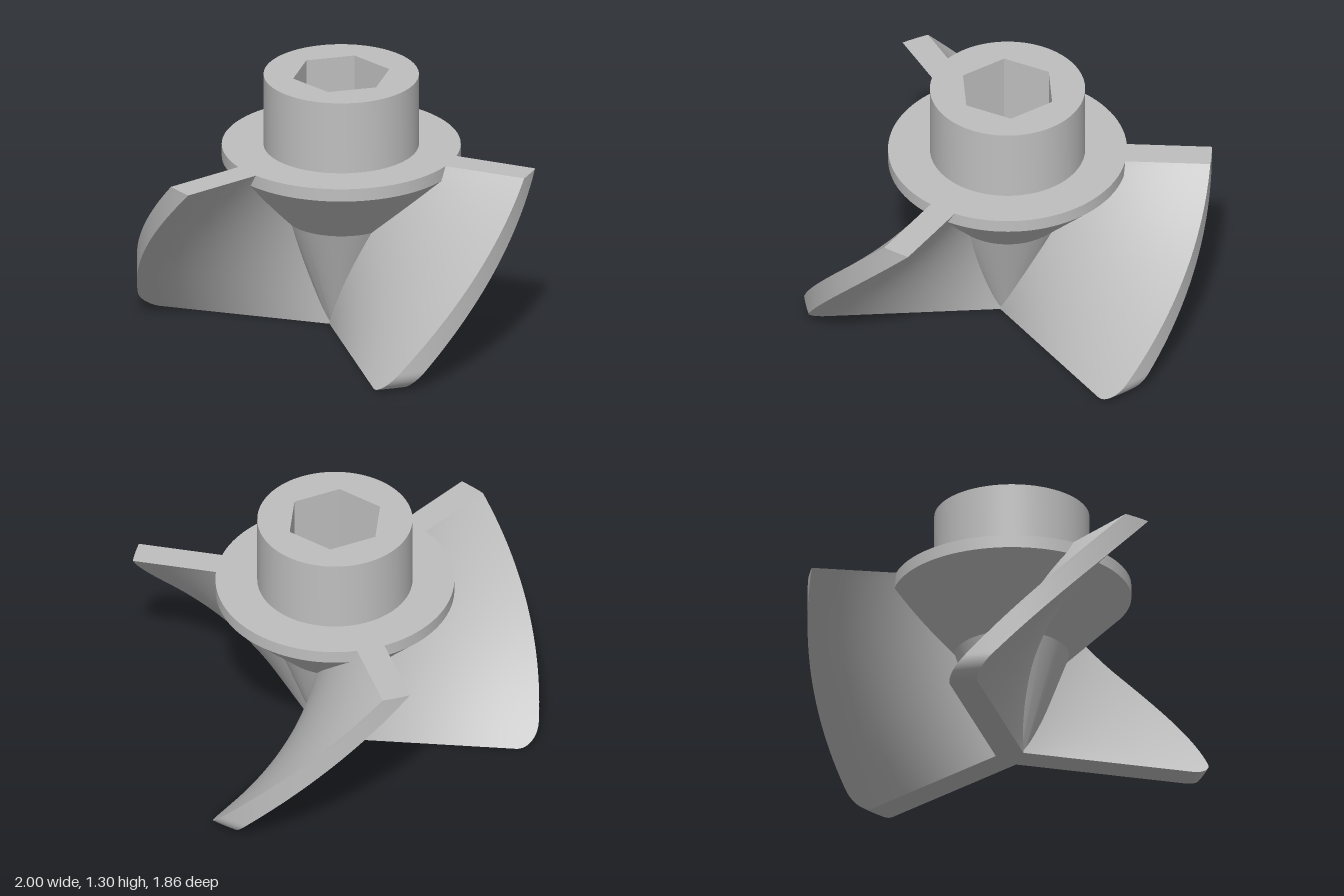
import * as THREE from 'three';
import { toCreasedNormals, mergeGeometries } from 'three/addons/utils/BufferGeometryUtils.js';

const HEIGHT = 0.93;                        // blade height, up to the flange top
const HALF = 0.07;                          // half blade thickness
const FILLET = 0.1;                         // rounding of the lower blade corner
const TWIST = THREE.MathUtils.degToRad(53); // twist from bottom to top

// Grid surface from f(u, v); faces point along du x dv
function surface(f, nu, nv) {
  const positions = [], index = [];
  for (let j = 0; j <= nv; j++)
    for (let i = 0; i <= nu; i++) positions.push(...f(i / nu, j / nv));
  for (let j = 0; j < nv; j++)
    for (let i = 0; i < nu; i++) {
      const a = j * (nu + 1) + i, b = a + 1, c = a + nu + 1, d = c + 1;
      index.push(a, b, d, a, d, c);
    }
  const g = new THREE.BufferGeometry();
  g.setAttribute('position', new THREE.Float32BufferAttribute(positions, 3));
  g.setIndex(index);
  g.computeVertexNormals();
  return g;
}

// Point of the blade: along = 0 at the hub to 1 at the rim, z across the thickness
function bladePoint(along, y, z) {
  const k = Math.max(0, FILLET - y);
  const rim = 1 - FILLET + Math.sqrt(Math.max(0, FILLET * FILLET - k * k));
  const inner = 0.22 * y / HEIGHT;
  const x = THREE.MathUtils.lerp(inner, Math.sqrt(rim * rim - z * z), along);
  const a = TWIST * y / HEIGHT, c = Math.cos(a), s = Math.sin(a);
  return [x * c + z * s, y, -x * s + z * c];
}

function bladeGeometry() {
  const level = (v) => HEIGHT * v * v; // finer steps near the rounded corner
  const across = (u) => HALF * (2 * u - 1);
  return mergeGeometries([
    surface((u, v) => bladePoint(u, level(v), HALF), 10, 56),
    surface((u, v) => bladePoint(1 - u, level(v), -HALF), 10, 56),
    surface((u, v) => bladePoint(1, level(v), across(1 - u)), 4, 56),
    surface((u, v) => bladePoint(v, HEIGHT, across(u)), 4, 1),
    surface((u, v) => bladePoint(u, 0, across(v)), 1, 4),
  ]);
}

export function createModel() {
  const model = new THREE.Group();
  model.name = 'impeller';
  const metal = new THREE.MeshStandardMaterial({ color: 0xbfbfbf });
  metal.name = 'grey metal';
  const add = (name, geometry) => {
    const mesh = new THREE.Mesh(geometry, metal);
    mesh.name = name;
    model.add(mesh);
    return mesh;
  };

  // Tapered hub with flange and a blind centre bore
  const profile = [
    [0, 0], [0.075, 0], [0.28, 0.555], [0.585, 0.865], [0.585, HEIGHT],
    [0.11, HEIGHT], [0.11, 0.62], [0, 0.62],
  ].map(([r, y]) => new THREE.Vector2(r, y));
  add('hub', toCreasedNormals(new THREE.LatheGeometry(profile, 96), 0.3));

  // Round collar with hexagonal socket
  const ring = new THREE.Shape().absarc(0, 0, 0.38, 0, Math.PI * 2);
  const hexagon = [];
  for (let i = 0; i < 6; i++) {
    const a = Math.PI / 2 + i * Math.PI / 3;
    hexagon.push(new THREE.Vector2(0.243 * Math.cos(a), 0.243 * Math.sin(a)));
  }
  ring.holes.push(new THREE.Path(hexagon));
  const collar = new THREE.ExtrudeGeometry(ring, { depth: 0.37, bevelEnabled: false, curveSegments: 96 });
  collar.rotateX(-Math.PI / 2);
  collar.translate(0, HEIGHT, 0);
  add('socketCollar', toCreasedNormals(collar, 0.3));

  // Three twisted blades
  const blade = bladeGeometry();
  for (let i = 0; i < 3; i++) add('blade' + (i + 1), blade).rotation.y = i * Math.PI * 2 / 3;

  model.children.forEach((part) => { part.position.z = -0.07; });
  return model;
}
